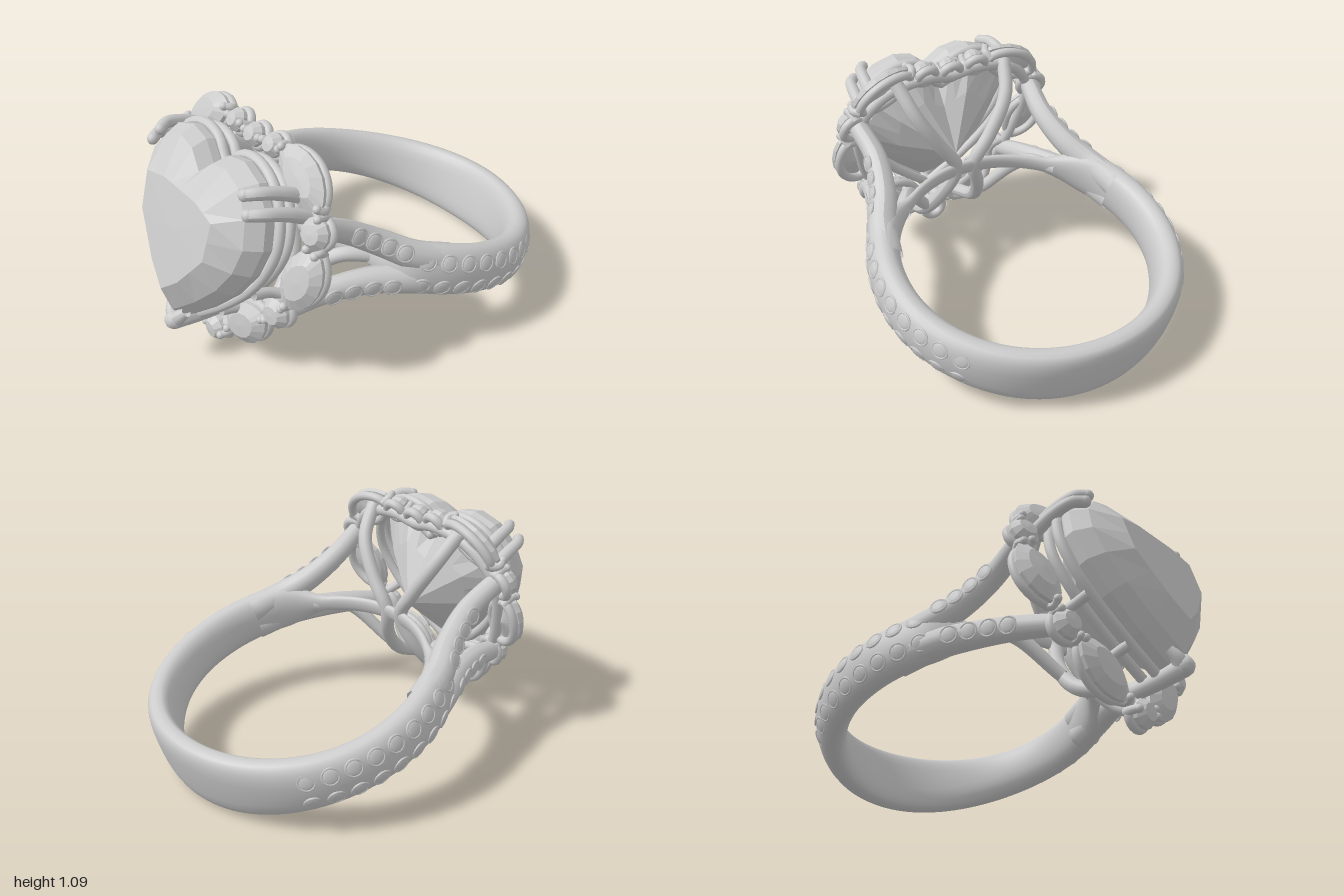
import * as THREE from 'three';

const mat = new THREE.MeshStandardMaterial({ color: 0xcccccc, side: THREE.DoubleSide });
const cutMat = new THREE.MeshStandardMaterial({ color: 0xcccccc, flatShading: true, side: THREE.DoubleSide });
const V = (p) => new THREE.Vector3(...p);
const mirror = (pts) => pts.map(([x, y, z]) => [-x, y, z]);

function add(parent, name, geometry, material = mat) {
  const mesh = new THREE.Mesh(geometry, material);
  mesh.name = name;
  parent.add(mesh);
  return mesh;
}

// Skin over closed cross-section loops; wrap joins the last loop to the first
function loft(rings, wrap = false) {
  const m = rings[0].length, n = rings.length, idx = [];
  for (let i = 0; i < (wrap ? n : n - 1); i++) {
    for (let j = 0; j < m; j++) {
      const a = i * m + j, b = i * m + (j + 1) % m;
      const d = ((i + 1) % n) * m + j, c = ((i + 1) % n) * m + (j + 1) % m;
      idx.push(a, b, c, a, c, d);
    }
  }
  const g = new THREE.BufferGeometry();
  g.setAttribute('position', new THREE.Float32BufferAttribute(rings.flat(2), 3));
  g.setIndex(idx);
  g.computeVertexNormals();
  return g;
}

// Round wire through points, tapering from r0 to r1
function wire(pts, r0, r1 = r0, closed = false) {
  const curve = new THREE.CatmullRomCurve3(pts.map(V), closed);
  const seg = closed ? 80 : 28, sides = 12;
  const g = new THREE.TubeGeometry(curve, seg, 1, sides, closed);
  const pos = g.attributes.position, v = new THREE.Vector3();
  for (let i = 0; i < pos.count; i++) {
    const t = Math.floor(i / (sides + 1)) / seg;
    const c = curve.getPointAt(t);
    v.fromBufferAttribute(pos, i).sub(c).multiplyScalar(r0 + (r1 - r0) * t).add(c);
    pos.setXYZ(i, v.x, v.y, v.z);
  }
  g.computeVertexNormals();
  return g;
}

function ball(parent, name, p, r) {
  add(parent, name, new THREE.SphereGeometry(r, 12, 8)).position.set(...p);
}

// Heart outline, counter-clockwise from the bottom point
const half = [[0.04, -0.455], [0.17, -0.345], [0.31, -0.2], [0.4, -0.06], [0.44, 0.08],
  [0.41, 0.22], [0.32, 0.33], [0.2, 0.372], [0.09, 0.35]];
const heart = [[0, -0.485], ...half, [0, 0.27], ...half.slice().reverse().map(([x, y]) => [-x, y])];
const heartRing = (s, z, top = 9) => heart.map(([x, y]) => [x * s, Math.min(-0.02 + (y + 0.02) * s, top), z]);

// Pull every second corner onto the line between its neighbours for long facets
const straighten = (ring) => ring.map((p, i) => i % 2
  ? p.map((_, k) => (ring[i - 1][k] + ring[(i + 1) % ring.length][k]) / 2) : p);

function heartGem(parent) {
  add(parent, 'heartGem', loft([heartRing(0, 0.71), straighten(heartRing(0.6, 0.885)), heartRing(0.98, 1.03),
    heartRing(1, 1.05), heartRing(1, 1.09), heartRing(0.9, 1.16),
    straighten(heartRing(0.64, 1.242, 0.165)), heartRing(0, 1.247)]), cutMat);
  for (const [s, z] of [[1.0, 1.02], [0.95, 0.95]])
    add(parent, 'bezelRail', wire(heartRing(s, z), 0.024, 0.024, true));
}

// Accent stone in a wire seat; marquise when long, round when hl equals hw
function accentStone(parent, x, y, hl, hw, angle) {
  const g = new THREE.Group();
  g.name = 'accentStone';
  const round = hl === hw, n = round ? 12 : 16, e = round ? 1 : 1.3;
  const ring = (s, z) => Array.from({ length: n }, (_, i) => {
    const a = i / n * Math.PI * 2, q = Math.sin(a);
    return [s * hl * Math.cos(a), s * hw * Math.sign(q) * Math.abs(q) ** e, z];
  });
  add(g, 'stone', loft([ring(0, -0.045), ring(0.98, -0.01), ring(1, 0.01), ring(0.6, 0.042), ring(0, 0.046)]), cutMat);
  add(g, 'seat', wire(ring(0.86, -0.035), 0.022, 0.022, true));
  // small grips at both ends
  for (const c of [hl, -hl]) {
    add(g, 'claw', wire([[0.85 * c, 0, -0.045], [1.02 * c, 0, -0.01], [0.95 * c, 0, 0.025]], 0.024, 0.017));
    ball(g, 'clawTip', [0.95 * c, 0, 0.025], 0.019);
  }
  g.position.set(x, y, 0.905 + 0.03 * Math.min(0, y));
  const lean = new THREE.Quaternion().setFromUnitVectors(V([0, 0, 1]), V([x * 0.45, y * 0.55, 1]).normalize());
  g.quaternion.setFromAxisAngle(V([0, 0, 1]), angle).premultiply(lean);
  parent.add(g);
}

// Finger loop: rounded sides, broad flat back, slim rail behind the head
const ease = THREE.MathUtils.smoothstep;
const outer = (d) => 0.645 + 0.109 * ease(d, 33, 60) - 0.044 * ease(d, 100, 180);
function shank(parent) {
  const rings = [];
  for (let i = 0; i < 120; i++) {
    const t = i / 120 * Math.PI * 2, d = THREE.MathUtils.radToDeg(Math.min(t, 2 * Math.PI - t));
    const back = ease(d, 100, 180);
    const w = 0.042 + 0.083 * ease(d, 36, 60) + 0.043 * back;
    const ri = 0.603 - 0.008 * back, mid = (ri + outer(d)) / 2, h = (outer(d) - ri) / 2;
    const p = (v) => Math.sign(v) * Math.abs(v) ** (0.92 - 0.25 * back);
    rings.push(Array.from({ length: 24 }, (_, j) => {
      const a = j / 24 * Math.PI * 2, r = mid + h * p(Math.sin(a));
      return [r * Math.sin(t), w * p(Math.cos(a)), r * Math.cos(t)];
    }));
  }
  add(parent, 'shank', loft(rings, true));
}

// Small set stone with a low rim, facing along its normal
function paveStone(parent, p, normal) {
  const g = new THREE.Group();
  g.name = 'paveStone';
  add(g, 'rim', new THREE.TorusGeometry(0.038, 0.006, 6, 16));
  add(g, 'stone', new THREE.SphereGeometry(0.037, 12, 6)).scale.z = 0.25;
  g.position.set(...p);
  g.quaternion.setFromUnitVectors(V([0, 0, 1]), V(normal).normalize());
  parent.add(g);
}

export function createModel() {
  const model = new THREE.Group();
  model.name = 'ring';
  const body = new THREE.Group();
  body.name = 'tiltedRing';
  body.rotation.x = THREE.MathUtils.degToRad(-17);
  body.position.set(0, 0.365, -0.28);
  model.add(body);

  const band = new THREE.Group();
  band.name = 'band';
  band.position.set(0, -0.018, -0.02);
  body.add(band);
  shank(band);
  heartGem(body);

  // Halo of accent stones and the rail carrying them
  const side = [[0.2, -0.43, 0.87], [0.37, -0.27, 0.87], [0.46, -0.04, 0.87], [0.48, 0.18, 0.87],
    [0.35, 0.34, 0.87], [0.14, 0.39, 0.87]];
  add(body, 'haloRail', wire([[0, -0.55, 0.87], ...side, [0, 0.37, 0.87], ...mirror(side).reverse()], 0.028, 0.028, true));
  accentStone(body, 0, -0.58, 0.068, 0.068, 0);
  accentStone(body, 0, 0.4, 0.056, 0.056, 0);
  for (const s of [1, -1]) {
    const stone = (x, y, hl, hw, a) => accentStone(body, s * x, y, hl, hw, s > 0 ? a : Math.PI - a);
    stone(0.21, -0.43, 0.165, 0.1, 0.7);
    stone(0.39, -0.27, 0.072, 0.072, 0.9);
    stone(0.505, -0.045, 0.16, 0.1, 1.25);
    stone(0.515, 0.18, 0.072, 0.072, 1.5);
    stone(0.36, 0.36, 0.17, 0.095, 2.65);
    stone(0.14, 0.41, 0.056, 0.056, 0);

    const flip = (pts) => s > 0 ? pts : mirror(pts);
    // Split shoulders rising to the halo, with set stones along the outside
    const shoulders = [
      [[0.64, 0.03, 0.18], [0.585, 0.045, 0.35], [0.515, 0.085, 0.5], [0.475, 0.14, 0.68], [0.49, 0.19, 0.87]],
      [[0.64, -0.066, 0.18], [0.585, -0.075, 0.35], [0.515, -0.1, 0.5], [0.45, -0.16, 0.68], [0.4, -0.26, 0.88]]];
    for (const path of shoulders) {
      add(body, 'shoulder', wire(flip(path), 0.075, 0.047));
      const curve = new THREE.CatmullRomCurve3(flip(path).map(V));
      for (const t of [0.34, 0.46, 0.58, 0.7]) {
        const c = curve.getPointAt(t), tan = curve.getTangentAt(t), n = V([s, Math.sign(c.y) * 0.12, 0]);
        n.addScaledVector(tan, -n.dot(tan)).normalize();
        paveStone(body, c.addScaledVector(n, 0.07 - 0.028 * t).toArray(), n.toArray());
      }
    }
    // Two rows of set stones round the shank
    for (let i = 0; i < 9; i++) {
      const d = 62 + i * 8, t = THREE.MathUtils.degToRad(d), r = outer(d) - 0.011;
      for (const u of [0.061, -0.061])
        paveStone(band, [s * r * Math.sin(t), u, r * Math.cos(t)], [s * Math.sin(t), u * 5.5, Math.cos(t)]);
    }
    // Arched gallery wires from the halo to the finger rail
    add(body, 'galleryArch', wire(flip([[0.3, 0.4, 0.87], [0.25, 0.29, 0.73], [0.14, 0.13, 0.645], [0.05, -0.01, 0.612],
      [0.1, -0.18, 0.62], [0.15, -0.38, 0.71], [0.13, -0.49, 0.87]]), 0.035));
    add(body, 'galleryStrut', wire(flip([[0.44, -0.02, 0.43], [0.34, -0.06, 0.57], [0.17, -0.3, 0.67]]), 0.038, 0.03));

    // Claws over the heart lobes, and struts tying the bezel to the halo
    for (const [x, y] of [[0.36, 0.305], [0.41, 0.235]]) {
      const tip = [x * 0.94, y * 0.96, 1.165];
      add(body, 'heartClaw', wire(flip([[x + 0.03, y - 0.02, 0.88], [x + 0.025, y + 0.005, 1.02], [x + 0.01, y + 0.005, 1.12], tip]), 0.034, 0.026));
      ball(body, 'heartClawTip', flip([tip])[0], 0.027);
    }
    for (const [x, y] of [[0.36, -0.18], [0.17, -0.37]])
      add(body, 'bezelStrut', wire(flip([[x * 1.05, y * 1.05, 0.87], [x, y, 0.94], [x, y, 1.02]]), 0.024));
    // Arm of the V claw at the heart point
    add(body, 'pointClawArm', wire(flip([[0, -0.5, 1.13], [0.03, -0.465, 1.135], [0.06, -0.425, 1.125]]), 0.04, 0.024));
  }
  // Stem of the point claw
  add(body, 'pointClawStem', wire([[0, -0.465, 0.88], [0, -0.485, 1], [0, -0.5, 1.14]], 0.036, 0.043));
  ball(body, 'pointClawTip', [0, -0.497, 1.14], 0.044);
  return model;
}
